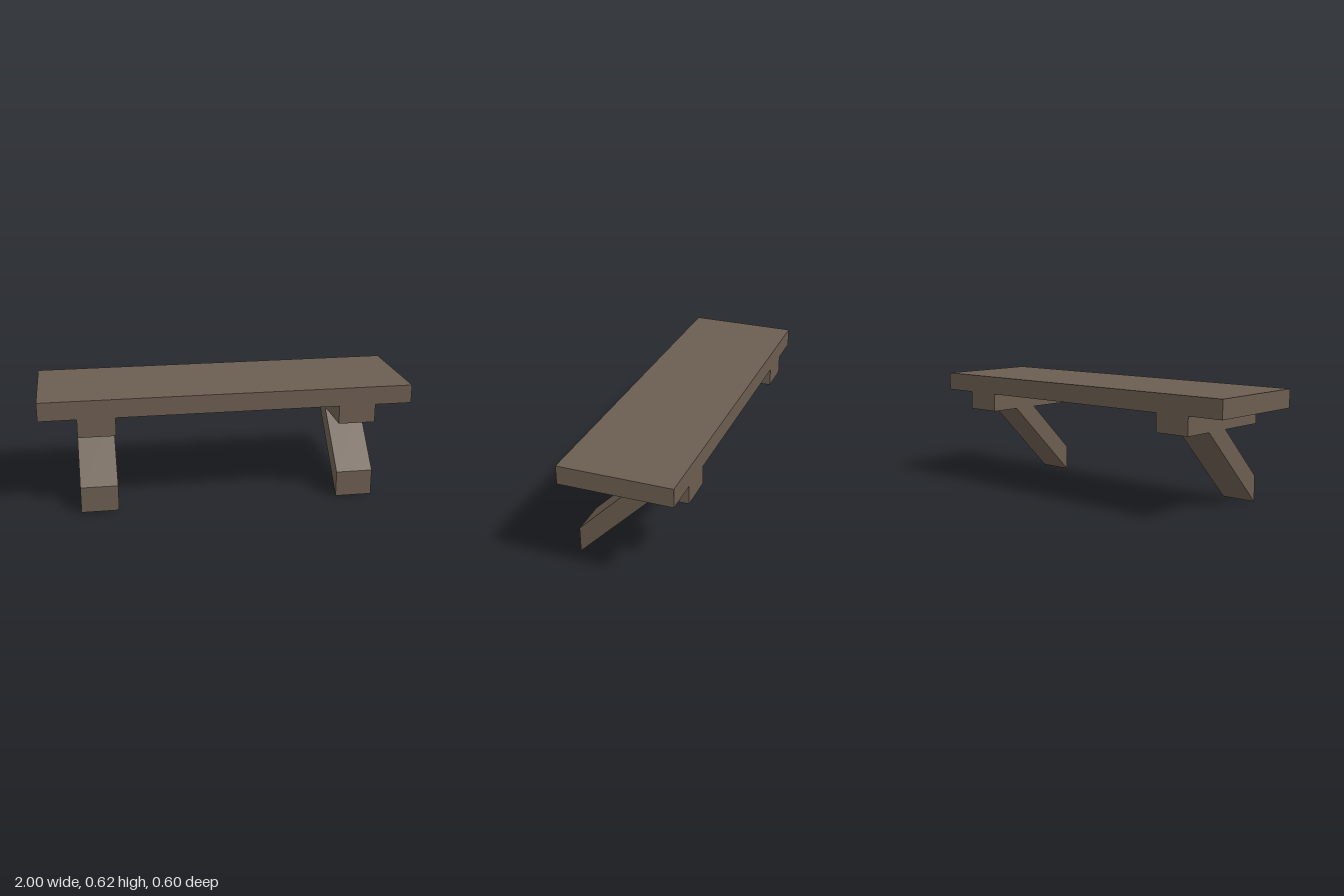
import * as THREE from 'three';

export function createModel() {
  const bench = new THREE.Group();
  bench.name = 'bench';
  const wood = new THREE.MeshStandardMaterial({ color: 0x6b5d50 });
  wood.name = 'brown wood';

  const depth = 0.6, topY = 0.625, thick = 0.1, legWidth = 0.2;

  const add = (parent, name, geometry, x, y) => {
    const mesh = new THREE.Mesh(geometry, wood);
    mesh.name = name;
    mesh.position.set(x, y, 0);
    parent.add(mesh);
  };

  // Seat plank
  add(bench, 'seat', new THREE.BoxGeometry(2, thick, depth), 0, topY - thick / 2);

  // Slanted brace: side profile in (z, y), cut upright at the foot and level at the top
  const profile = new THREE.Shape([
    [0.3, 0], [0.3, 0.142], [0.017, 0.425], [-0.125, 0.425],
  ].map(([z, y]) => new THREE.Vector2(z, y)));
  const brace = new THREE.ExtrudeGeometry(profile, { depth: legWidth, bevelEnabled: false });
  brace.translate(0, 0, -legWidth / 2).rotateY(-Math.PI / 2);
  const crossbar = new THREE.BoxGeometry(legWidth, thick, depth);

  // One support under each end
  for (const side of [-1, 1]) {
    const support = new THREE.Group();
    support.name = side > 0 ? 'leftSupport' : 'rightSupport';
    support.position.x = side * 0.7;
    add(support, 'crossbar', crossbar, 0, topY - 1.5 * thick);
    add(support, 'slantedLeg', brace, 0, 0);
    bench.add(support);
  }
  return bench;
}
